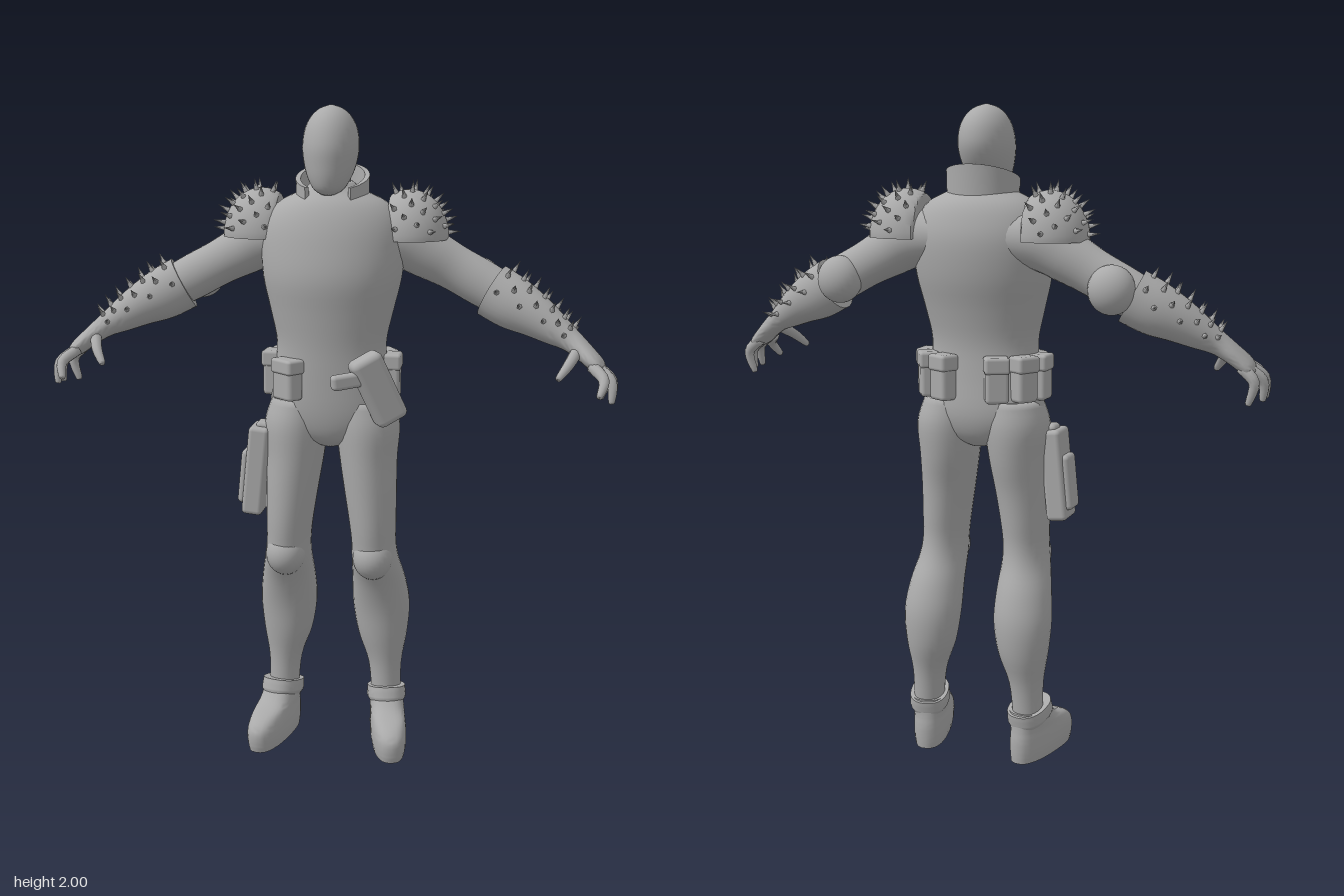
import * as THREE from 'three';
import { mergeGeometries, toCreasedNormals } from 'three/addons/utils/BufferGeometryUtils.js';
import { RoundedBoxGeometry } from 'three/addons/geometries/RoundedBoxGeometry.js';

const V3 = (x, y, z) => new THREE.Vector3(x, y, z);

// Closed skin over a list of equal-length point rings, always facing outward
function skin(rings) {
  const n = rings[0].length, pts = rings.flat(), idx = [];
  for (let i = 0; i < rings.length - 1; i++) for (let j = 0; j < n; j++) {
    const a = i * n + j, b = i * n + (j + 1) % n;
    idx.push(a, b, a + n, b, b + n, a + n);
  }
  [0, rings.length - 1].forEach((r, end) => {
    const c = V3(0, 0, 0);
    rings[r].forEach(p => c.addScaledVector(p, 1 / n));
    const k = pts.push(c) - 1;
    for (let j = 0; j < n; j++) {
      const a = r * n + j, b = r * n + (j + 1) % n;
      end ? idx.push(a, b, k) : idx.push(b, a, k);
    }
  });
  let volume = 0;
  for (let i = 0; i < idx.length; i += 3) {
    volume += pts[idx[i]].dot(V3(0, 0, 0).crossVectors(pts[idx[i + 1]], pts[idx[i + 2]]));
  }
  if (volume < 0) idx.reverse();
  const g = new THREE.BufferGeometry().setFromPoints(pts);
  g.setIndex(idx);
  g.computeVertexNormals();
  return g;
}

// Smooth section sampler; each key is [x, y, z, halfWidthU, halfWidthV]
function sampler(keys, level) {
  const path = new THREE.CatmullRomCurve3(keys.map(k => V3(k[0], k[1], k[2])), false, 'catmullrom', 0.5);
  const size = new THREE.CatmullRomCurve3(keys.map(k => V3(k[3], k[4], 0)), false, 'catmullrom', 0.5);
  return t => {
    const c = path.getPoint(t), s = size.getPoint(t);
    let u = V3(1, 0, 0), v = V3(0, 0, 1);
    if (!level) {
      const d = path.getTangent(t);
      u = V3(0, 0, 1).addScaledVector(d, -d.z).normalize();
      v = V3(0, 0, 0).crossVectors(u, d);
    }
    return { c, u, v, a: s.x, b: s.y };
  };
}

function pointOn(f, angle, power = 1) {
  const e = q => Math.sign(q) * Math.pow(Math.abs(q), power);
  return f.c.clone().addScaledVector(f.u, f.a * e(Math.cos(angle))).addScaledVector(f.v, f.b * e(Math.sin(angle)));
}

function loft(keys, { level = true, sides = 28, steps = 4, power = 1 } = {}) {
  const at = sampler(keys, level), count = (keys.length - 1) * steps, rings = [];
  for (let i = 0; i <= count; i++) {
    const f = at(i / count);
    rings.push(Array.from({ length: sides }, (_, j) => pointOn(f, j / sides * Math.PI * 2, power)));
  }
  return skin(rings);
}

function mirror(geometry) {
  const g = geometry.index ? geometry.clone() : geometry.clone().setIndex([...Array(geometry.attributes.position.count).keys()]);
  g.scale(-1, 1, 1);
  g.index.array.reverse();
  const nrm = g.attributes.normal, src = geometry.attributes.normal;
  for (let i = 0; i < nrm.count; i++) nrm.setXYZ(i, -src.getX(i), src.getY(i), src.getZ(i));
  return g;
}

function ellipsoid(x, y, z, rx, ry, rz) {
  return new THREE.SphereGeometry(1, 24, 16).scale(rx, ry, rz).translate(x, y, z);
}

function spike(p, normal) {
  const g = new THREE.ConeGeometry(0.0095, 0.042, 6).translate(0, 0.015, 0);
  g.applyQuaternion(new THREE.Quaternion().setFromUnitVectors(V3(0, 1, 0), normal.clone().normalize()));
  return g.translate(p.x, p.y, p.z);
}

export function createModel() {
  const model = new THREE.Group();
  model.name = 'armouredFigure';
  const grey = new THREE.MeshStandardMaterial({ color: 0xaaaaaa });
  grey.name = 'grey';
  const add = (name, geometry) => {
    const m = new THREE.Mesh(geometry, grey);
    m.name = name;
    model.add(m);
    return m;
  };
  const pair = (name, geometry) => {
    add(name + 'Left', geometry);
    add(name + 'Right', mirror(geometry));
  };

  // Torso, neck and head
  add('torso', loft([
    [0, 0.985, -0.02, 0.04, 0.06], [0, 1.02, -0.02, 0.14, 0.1], [0, 1.09, -0.02, 0.19, 0.12],
    [0, 1.2, -0.012, 0.178, 0.12], [0, 1.3, -0.008, 0.167, 0.122], [0, 1.4, -0.012, 0.187, 0.138],
    [0, 1.5, -0.02, 0.21, 0.158], [0, 1.6, -0.032, 0.216, 0.157], [0, 1.67, -0.035, 0.2, 0.142],
    [0, 1.72, -0.035, 0.16, 0.118], [0, 1.755, -0.03, 0.09, 0.08], [0, 1.78, -0.025, 0.06, 0.06]], { sides: 40 }));
  add('neck', loft([[0, 1.7, -0.03, 0.062, 0.065], [0, 1.78, -0.02, 0.055, 0.06], [0, 1.86, -0.01, 0.055, 0.06]]));
  add('head', loft([
    [0, 2, 0, 0.004, 0.005], [0, 1.99, 0, 0.033, 0.045], [0, 1.967, -0.001, 0.059, 0.078], [0, 1.93, 0, 0.077, 0.1],
    [0, 1.88, 0.005, 0.083, 0.109], [0, 1.83, 0.015, 0.076, 0.098], [0, 1.79, 0.03, 0.062, 0.078],
    [0, 1.76, 0.042, 0.043, 0.055], [0, 1.745, 0.045, 0.02, 0.03]]));

  // Standing collar, open at the front and higher behind
  const collar = [];
  for (let i = 0; i <= 32; i++) {
    const t = THREE.MathUtils.degToRad(38 + 284 * i / 32), s = Math.sin(t), c = Math.cos(t);
    const top = 1.785 - 0.35 * (-0.025 + 0.1 * c), low = 1.715 - 0.02 * c;
    const p = (r, y) => V3(r * s, y, -0.025 + r * c);
    collar.push([p(0.108, low), p(0.11, top), p(0.095, top), p(0.09, low)]);
  }
  add('collar', toCreasedNormals(skin(collar), 0.6));

  // Legs, knee pads and boots
  pair('leg', loft([
    [0.1, 1.13, -0.02, 0.085, 0.105], [0.111, 1.05, -0.02, 0.098, 0.122], [0.114, 0.95, -0.015, 0.089, 0.118],
    [0.122, 0.85, -0.005, 0.081, 0.108], [0.13, 0.75, -0.001, 0.073, 0.102], [0.134, 0.68, -0.002, 0.069, 0.097],
    [0.138, 0.62, -0.012, 0.073, 0.098], [0.145, 0.54, -0.05, 0.084, 0.094], [0.15, 0.45, -0.075, 0.09, 0.09],
    [0.154, 0.35, -0.08, 0.078, 0.08], [0.163, 0.25, -0.075, 0.053, 0.06], [0.168, 0.13, -0.07, 0.046, 0.052]]));
  pair('kneePad', ellipsoid(0.137, 0.635, 0.04, 0.062, 0.068, 0.066));
  const turnFoot = g => g.translate(0, 0, 0.07).rotateY(0.22).translate(0.168, 0, -0.07);
  pair('boot', turnFoot(toCreasedNormals(loft([
    [0, 0, 0.008, 0.05, 0.146], [0, 0.03, 0.01, 0.055, 0.15], [0, 0.07, 0.008, 0.056, 0.148],
    [0, 0.1, -0.008, 0.054, 0.128], [0, 0.125, -0.042, 0.054, 0.092], [0, 0.16, -0.062, 0.053, 0.07]],
  { power: 0.8 }), 0.9)));
  pair('bootCuff', turnFoot(toCreasedNormals(loft([
    [0, -0.025, 0, 0.055, 0.076], [0, -0.01, 0, 0.062, 0.08], [0, 0.022, 0, 0.06, 0.077]], { power: 0.85 }), 0.8)
    .rotateX(-0.25).translate(0, 0.15, -0.06)));

  // Arms, elbow pads, gauntlets and fingers
  pair('upperArm', loft([
    [0.1, 1.615, -0.06, 0.1, 0.08], [0.2, 1.607, -0.07, 0.092, 0.086], [0.28, 1.567, -0.075, 0.076, 0.077],
    [0.36, 1.525, -0.078, 0.061, 0.069], [0.44, 1.482, -0.077, 0.061, 0.069], [0.5, 1.45, -0.07, 0.06, 0.066]], { level: false }));
  pair('elbowPad', ellipsoid(0.43, 1.48, -0.125, 0.07, 0.072, 0.06));
  const gauntlet = [
    [0.475, 1.46, -0.07, 0.067, 0.083], [0.54, 1.425, -0.056, 0.069, 0.08], [0.6, 1.395, -0.04, 0.062, 0.067],
    [0.66, 1.36, -0.022, 0.05, 0.051], [0.71, 1.33, -0.005, 0.041, 0.036], [0.75, 1.3, 0.01, 0.049, 0.029],
    [0.79, 1.265, 0.03, 0.06, 0.024], [0.808, 1.247, 0.036, 0.05, 0.014]];
  pair('gauntlet', toCreasedNormals(loft(gauntlet, { level: false }), 0.9));
  const fingers = {
    index: [[0.78, 1.265, 0.072], [0.813, 1.235, 0.115], [0.803, 1.195, 0.15]],
    middle: [[0.79, 1.262, 0.05], [0.835, 1.225, 0.078], [0.838, 1.168, 0.092]],
    ring: [[0.79, 1.26, 0.02], [0.838, 1.22, 0.038], [0.838, 1.165, 0.045]],
    little: [[0.785, 1.262, -0.008], [0.823, 1.22, -0.014], [0.808, 1.16, -0.01]],
    thumb: [[0.735, 1.305, 0.025], [0.712, 1.272, 0.085], [0.685, 1.237, 0.12]] };
  for (const [name, joints] of Object.entries(fingers)) {
    const radii = [0.018, 0.016, 0.01], keys = joints.map((p, i) => [...p, radii[i], radii[i]]);
    const [m, e] = joints.slice(1);
    keys.push([...e.map((q, i) => q + (q - m[i]) * 0.1), 0.003, 0.003]);
    pair(name + 'Finger', loft(keys, { level: false, sides: 10 }));
  }

  // Rows of spikes over the upper side of each gauntlet
  const along = sampler(gauntlet, false), armSpikes = [];
  for (let row = 0; row < 7; row++) for (let k = 0; k < 4; k++) {
    const f = along(0.05 + row * 0.082), angle = 0.15 + (k + (row % 2) * 0.5) * 0.8;
    const p = pointOn(f, angle);
    armSpikes.push(spike(p, p.clone().sub(f.c)));
  }
  pair('gauntletSpikes', mergeGeometries(armSpikes));

  // Domed shoulder pads, cut flat underneath and on the neck side
  const centre = V3(0.225, 1.615, -0.07), radius = V3(0.118, 0.14, 0.113);
  const dome = new THREE.SphereGeometry(1, 40, 32), dp = dome.attributes.position;
  for (let i = 0; i < dp.count; i++) {
    dp.setXYZ(i, Math.max(dp.getX(i) * radius.x, -0.057), Math.max(dp.getY(i) * radius.y, -0.005), dp.getZ(i) * radius.z);
  }
  dome.translate(centre.x, centre.y, centre.z);
  pair('shoulderPad', toCreasedNormals(dome, 0.7));
  const padSpikes = [];
  for (let i = 0; i < 46; i++) {
    const y = 0.1 + 0.88 * (i + 0.5) / 46, r = Math.sqrt(1 - y * y), t = i * 2.39996;
    const d = V3(r * Math.cos(t), y, r * Math.sin(t));
    if (d.x > -0.42) padSpikes.push(spike(d.clone().multiply(radius).add(centre), d.clone().divide(radius)));
  }
  pair('shoulderSpikes', mergeGeometries(padSpikes));

  // Belt pouches with flaps, set around the waist
  const pouch = mergeGeometries([
    new RoundedBoxGeometry(0.07, 0.135, 0.055, 2, 0.012),
    new RoundedBoxGeometry(0.076, 0.05, 0.063, 2, 0.01).translate(0, 0.046, 0)]);
  for (const deg of [-40, -92, -122, -152, 92, 122, 152]) {
    const t = THREE.MathUtils.degToRad(deg);
    const m = add('beltPouch', pouch);
    m.position.set(0.182 * Math.sin(t), 1.2, -0.014 + 0.138 * Math.cos(t));
    m.rotation.y = t;
    if (deg === -40) m.scale.set(1.25, 0.9, 1);
  }

  // Slanted hip holster with a grip
  const holster = new THREE.Group();
  holster.name = 'hipHolster';
  const taper = new RoundedBoxGeometry(0.1, 0.22, 0.07, 4, 0.02);
  const body = new THREE.Mesh(taper, grey);
  body.name = 'holsterBody';
  const grip = new THREE.Mesh(new RoundedBoxGeometry(0.11, 0.045, 0.035, 3, 0.012), grey);
  grip.name = 'holsterGrip';
  grip.position.set(-0.07, 0.07, 0.01);
  grip.rotation.z = -0.35;
  holster.add(body, grip);
  holster.position.set(0.158, 1.185, 0.108);
  holster.rotation.set(0, 0.5, 0.45);
  model.add(holster);

  // Thigh bag with an outer pocket and a top lug
  const bag = new THREE.Group();
  bag.name = 'thighBag';
  const bagParts = [['bagBody', 0.065, 0.28, 0.105, 0, 0], ['bagPocket', 0.03, 0.17, 0.08, -0.035, -0.025], ['bagLug', 0.045, 0.06, 0.06, 0.008, 0.125]];
  for (const [name, w, h, d, x, y] of bagParts) {
    const m = new THREE.Mesh(new RoundedBoxGeometry(w, h, d, 3, 0.014), grey);
    m.name = name;
    m.position.set(x, y, 0);
    bag.add(m);
  }
  bag.position.set(-0.228, 0.9, 0.015);
  bag.rotation.z = -0.1;
  model.add(bag);
  return model;
}
